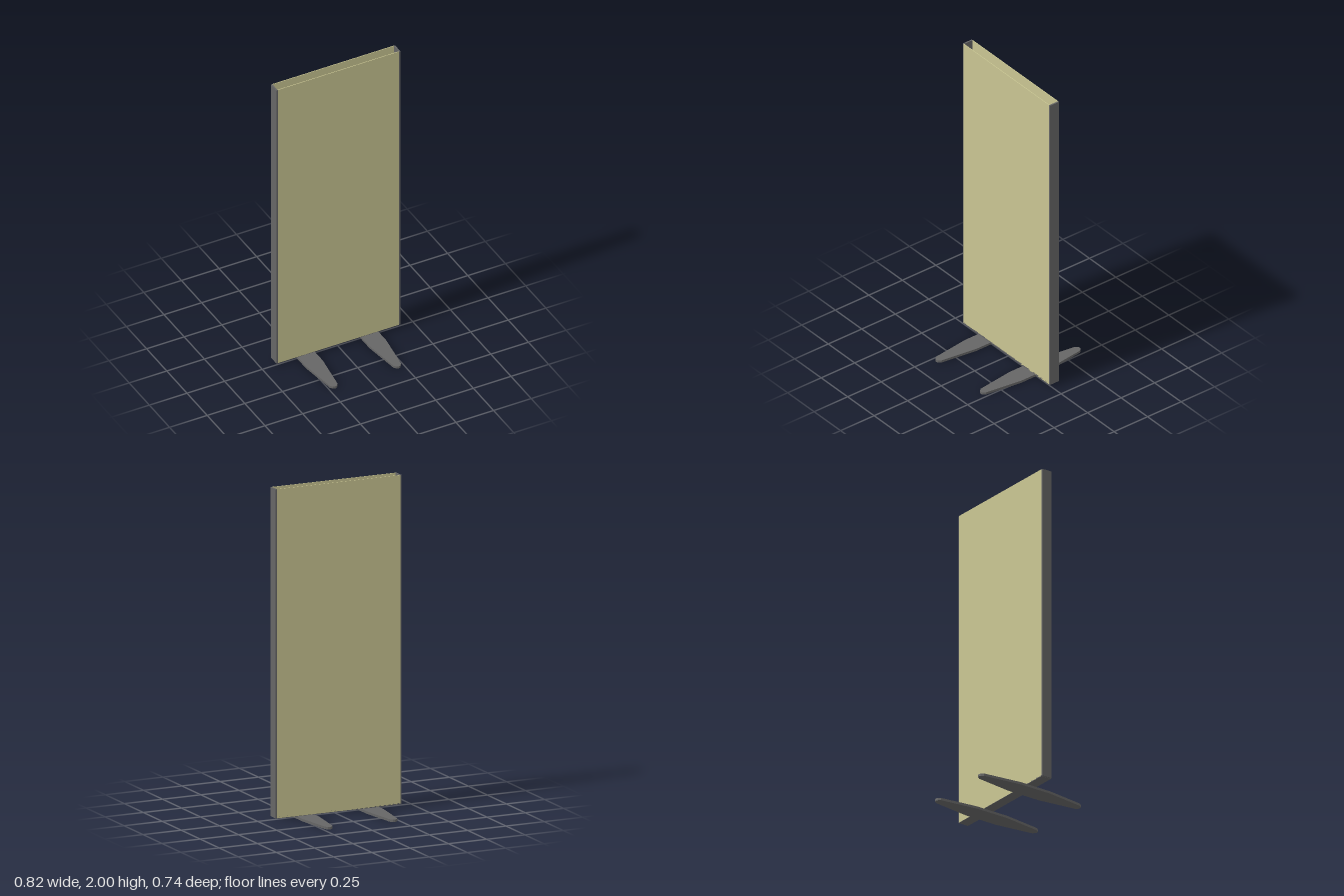
import * as THREE from 'three';

const grey = new THREE.MeshStandardMaterial({ color: 0x666666, flatShading: true });
const khaki = new THREE.MeshStandardMaterial({ color: 0xc9c592, flatShading: true });

export function createModel() {
  const model = new THREE.Group();
  model.name = 'displayPanel';

  // Box given by its minimum and maximum corners
  const box = (name, material, [x0, y0, z0], [x1, y1, z1]) => {
    const mesh = new THREE.Mesh(new THREE.BoxGeometry(x1 - x0, y1 - y0, z1 - z0), material);
    mesh.position.set((x0 + x1) / 2, (y0 + y1) / 2, (z0 + z1) / 2);
    mesh.name = name;
    model.add(mesh);
  };

  const bottom = 0.02, top = 2, front = 0.013, back = -0.055, skin = 0.004;

  // Two thin sheets with an open top between them
  box('frontSheet', khaki, [-0.404, bottom, front - skin], [0.402, top, front]);
  box('backSheet', khaki, [-0.404, bottom, back], [0.402, top, back + skin]);

  // Side strips, floor rail and the brackets at its ends
  box('rightSideStrip', grey, [-0.413, bottom, back + 0.001], [-0.404, top, front]);
  box('leftSideStrip', grey, [0.402, bottom, back + 0.001], [0.411, top, front]);
  box('floorRail', grey, [-0.404, bottom - 0.002, back], [0.402, bottom + 0.008, front]);
  box('rightBracket', grey, [-0.404, bottom, back + skin], [-0.342, bottom + 0.012, front - skin]);
  box('leftBracket', grey, [0.34, bottom, back + skin], [0.402, bottom + 0.012, front - skin]);

  // Flat tapered feet: half widths at stations along the length
  const half = [[0.057, 0.11], [0.025, 0.35], [0.012, 0.366], [0, 0.37]];
  const side = [...half.map(([x, z]) => [x, -z]).reverse(), ...half];
  const outline = [...side, ...side.slice(1, -1).reverse().map(([x, z]) => [-x, z])];
  const footGeometry = new THREE.ExtrudeGeometry(
    new THREE.Shape(outline.map(([x, z]) => new THREE.Vector2(x, z))),
    { depth: 0.015, bevelEnabled: false },
  );
  footGeometry.rotateX(-Math.PI / 2);
  for (const [name, x] of [['rightFoot', -0.213], ['leftFoot', 0.209]]) {
    const foot = new THREE.Mesh(footGeometry, grey);
    foot.name = name;
    foot.position.x = x;
    model.add(foot);
  }

  return model;
}
